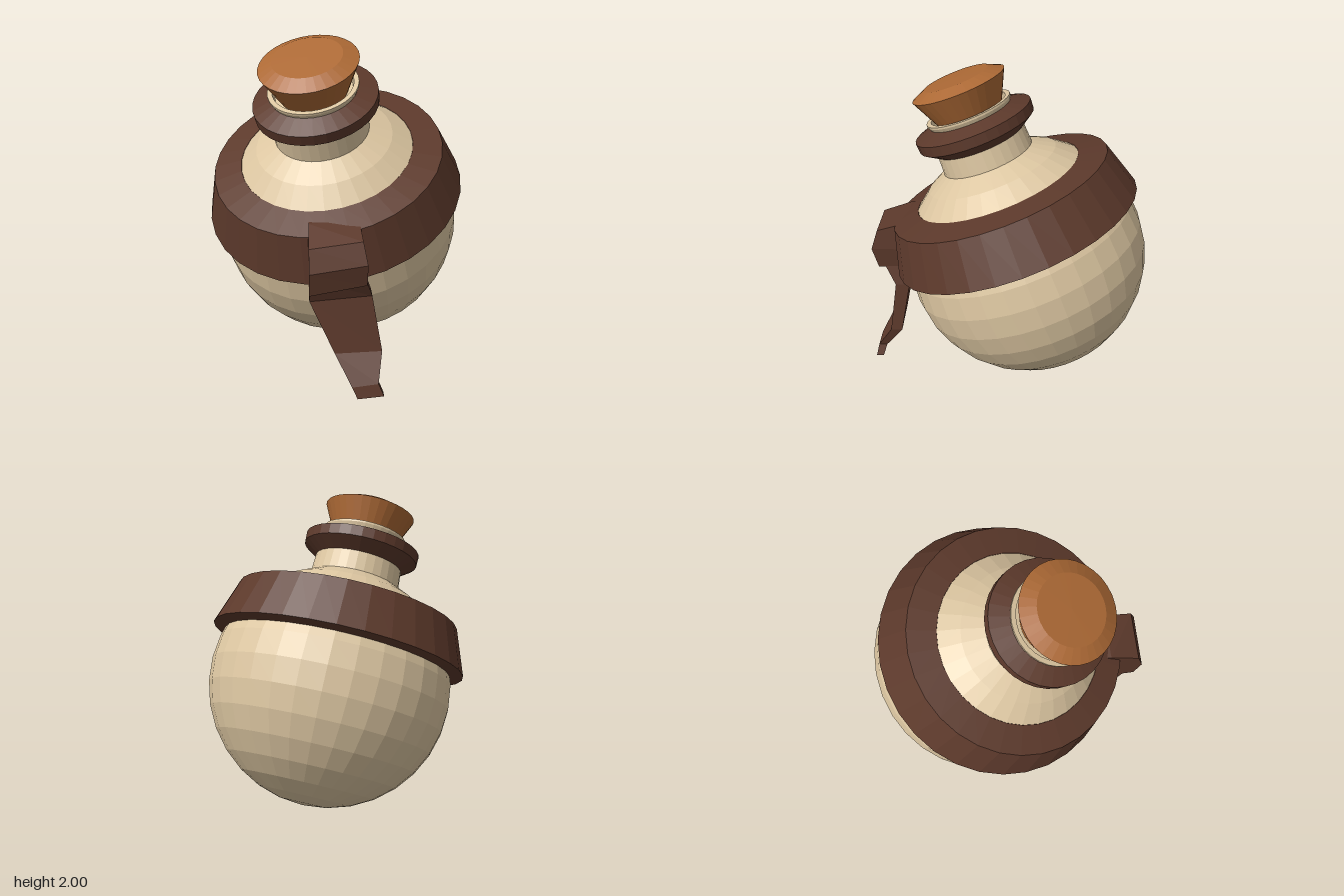
import * as THREE from 'three';

const SIDES = 32;
const RADIUS = 0.77;

function material(name, color) {
  const m = new THREE.MeshStandardMaterial({ color, flatShading: true });
  m.name = name;
  return m;
}

// Solid of revolution from [radius, height] points, listed bottom to top on the outside
function turned(name, points, mat) {
  const profile = points.map(([r, y]) => new THREE.Vector2(r, y));
  const mesh = new THREE.Mesh(new THREE.LatheGeometry(profile, SIDES), mat);
  mesh.name = name;
  return mesh;
}

// Four-sided loft; each section is [y, left, right, inner, outer, rise of right side]
function loft(name, sections, mat) {
  const pos = [], index = [];
  for (const [y, left, right, inner, outer, rise] of sections) {
    pos.push(left, y, outer, right, y + rise, outer, right, y + rise, inner, left, y, inner);
  }
  for (let s = 0; s < sections.length - 1; s++) {
    for (let i = 0; i < 4; i++) {
      const a = s * 4 + i, b = s * 4 + (i + 1) % 4;
      index.push(a, a + 4, b + 4, a, b + 4, b);
    }
  }
  const e = (sections.length - 1) * 4;
  index.push(0, 1, 2, 0, 2, 3, e, e + 2, e + 1, e, e + 3, e + 2);
  const indexed = new THREE.BufferGeometry();
  indexed.setAttribute('position', new THREE.Float32BufferAttribute(pos, 3));
  indexed.setIndex(index);
  const geometry = indexed.toNonIndexed();
  geometry.computeVertexNormals();
  const mesh = new THREE.Mesh(geometry, mat);
  mesh.name = name;
  return mesh;
}

export function createModel() {
  const model = new THREE.Group();
  model.name = 'corkedFlask';
  const clay = material('cream clay', 0xdcc6a1);
  const leather = material('dark brown leather', 0x5c392b);
  const corkMat = material('cork', 0xac6935);

  // Everything round shares one axis leaning to the front
  const flask = new THREE.Group();
  flask.name = 'flask';
  flask.position.set(0.008, 0.77, -0.11);
  flask.rotation.set(0.407, 0, -0.017);
  model.add(flask);

  // Spherical body running up into the neck
  const body = [];
  for (let i = 0; i <= 14; i++) {
    const a = -Math.PI / 2 + (i * Math.PI) / 16;
    body.push([Math.max(0, RADIUS * Math.cos(a)), RADIUS * Math.sin(a)]);
  }
  flask.add(turned('body', body, clay));
  flask.add(turned('neck', [[0.295, 0.7], [0.287, 0.84]], clay));

  // Mouth rim with a recessed floor around the cork
  flask.add(turned('lip', [
    [0.25, 0.98], [0.275, 1.032], [0.275, 1.045], [0.245, 1.045], [0.235, 1.0], [0, 1.0],
  ], clay));

  // Leather band over the shoulder and collar round the neck
  flask.add(turned('shoulderBand', [
    [0.72, 0.2], [0.82, 0.222], [0.724, 0.515], [0.545, 0.547], [0.53, 0.53],
  ], leather));
  flask.add(turned('neckCollar', [
    [0.28, 0.832], [0.378, 0.902], [0.381, 0.968], [0.255, 1.012],
  ], leather));

  // Tapered stopper with a bevelled top
  flask.add(turned('cork', [
    [0, 0.99], [0.2, 0.99], [0.3, 1.205], [0.21, 1.246], [0, 1.25],
  ], corkMat));

  // Knot and hanging tail, turned toward the model's left
  const tie = new THREE.Group();
  tie.name = 'strapTie';
  tie.rotation.y = 0.488;
  tie.add(loft('strapKnot', [
    [1.02, -0.16, 0.13, 0.58, 0.68, 0.02],
    [0.947, -0.164, 0.14, 0.58, 0.87, 0.04],
    [0.81, -0.164, 0.165, 0.6, 0.912, 0.05],
    [0.66, -0.164, 0.165, 0.7, 0.876, 0.06],
  ], leather));
  tie.add(loft('strapTail', [
    [0.74, -0.16, 0.16, 0.74, 0.84, 0],
    [0.57, -0.162, 0.204, 0.68, 0.77, 0.03],
    [0.25, -0.016, 0.263, 0.745, 0.82, 0.01],
    [0.08, 0.08, 0.235, 0.865, 0.92, 0.02],
    [0.012, 0.112, 0.267, 0.89, 0.938, 0.015],
  ], leather));
  model.add(tie);

  return model;
}
